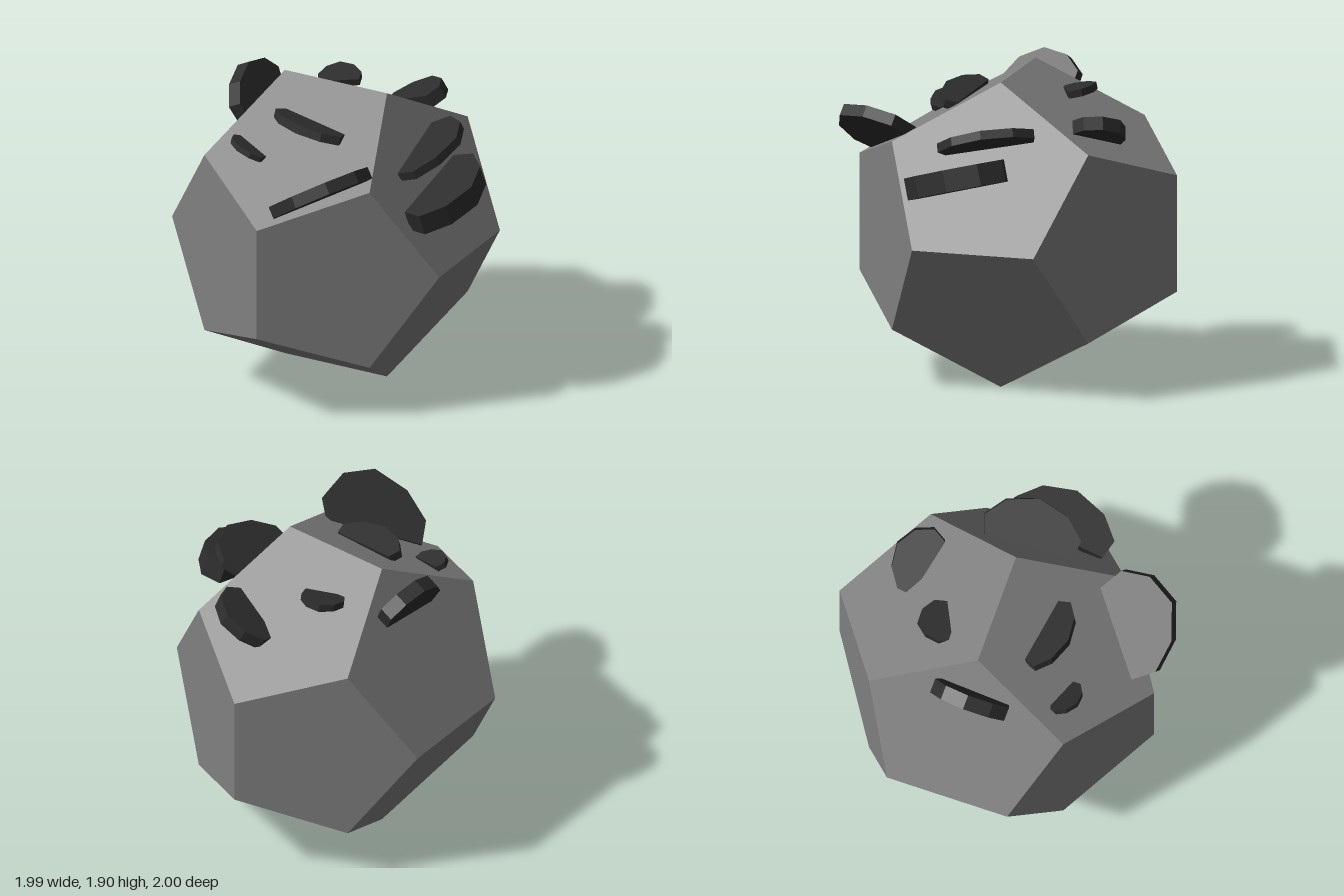
import * as THREE from 'three';
import { ConvexGeometry } from 'three/addons/geometries/ConvexGeometry.js';

const stone = new THREE.MeshStandardMaterial({ color: 0x808080, flatShading: true });
stone.name = 'grey stone';
const shell = new THREE.MeshStandardMaterial({ color: 0x2d2d2d, flatShading: true });
shell.name = 'dark shard';

// Shared shard outline: [fraction along the buried edge, fraction of the depth outward]
const outline = [[0, 0], [1, 0], [1.05, 0.4], [0.85, 0.8], [0.5, 1], [0.15, 0.8], [-0.05, 0.4]];

// A flat slab with a straight buried edge from "from" to "to" (x, z pairs) that
// bulges outward by "depth". Its upper face passes through "at", rising by
// "slope" in x and z, and its thickness runs along the face's normal.
function shard(name, { at: [x0, y0, z0], slope: [b, c], thick, from, to, depth }) {
  const start = new THREE.Vector2(...from);
  const edge = new THREE.Vector2(...to).sub(start);
  const outward = new THREE.Vector2(-edge.y, edge.x).setLength(depth);
  const down = new THREE.Vector3(b, -1, c).setLength(thick);
  const points = outline.flatMap(([along, out]) => {
    const { x, y: z } = start.clone().addScaledVector(edge, along).addScaledVector(outward, out);
    const p = new THREE.Vector3(x, y0 + b * (x - x0) + c * (z - z0), z);
    return [p, p.clone().add(down)];
  });
  const mesh = new THREE.Mesh(new ConvexGeometry(points), shell);
  mesh.name = name;
  return mesh;
}

export function createModel() {
  const model = new THREE.Group();
  model.name = 'shardedStone';

  // Twelve-sided body, slightly uneven, resting on one edge
  const geometry = new THREE.DodecahedronGeometry(1);
  geometry.scale(0.986, 1.014, 1.08);
  geometry.rotateY(-0.4625);
  geometry.translate(0, 0.948, -0.083);
  geometry.computeVertexNormals();
  const body = new THREE.Mesh(geometry, stone);
  body.name = 'body';
  model.add(body);

  // Shards on the upper front face
  model.add(
    shard('frontLargeShard', {
      at: [0.21, 1.72, 0.76], slope: [0.475, 0.5], thick: 0.075,
      from: [-0.38, 0.69], to: [0.16, 0.57], depth: 0.36,
    }),
    shard('frontMediumShard', {
      at: [-0.27, 1.765, 0.04], slope: [-0.234, 0.133], thick: 0.055,
      from: [-0.3, 0.05], to: [0.065, 0.3], depth: 0.18,
    }),
    shard('frontSmallShard', {
      at: [-0.6, 1.66, 0.28], slope: [-0.42, 0.02], thick: 0.035,
      from: [-0.57, 0.17], to: [-0.41, 0.33], depth: 0.12,
    }),
  );

  // Shards on the upper left side
  model.add(
    shard('sideLowerShard', {
      at: [0.6, 1.385, 0.73], slope: [0.28, -0.15], thick: 0.135,
      from: [0.44, 0.62], to: [0.72, 0.12], depth: 0.3,
    }),
    shard('sideUpperShard', {
      at: [0.41, 1.535, 0.45], slope: [0.48, -0.03], thick: 0.055,
      from: [0.39, 0.43], to: [0.58, -0.08], depth: 0.275,
    }),
  );

  // Shards on the upper back faces
  model.add(
    shard('backUprightShard', {
      at: [-0.52, 1.92, -0.37], slope: [-1.67, -1], thick: 0.09,
      from: [-0.33, -0.465], to: [-0.53, -0.08], depth: 0.12,
    }),
    shard('backSideShard', {
      at: [0.62, 1.73, -0.5], slope: [0.55, 0.05], thick: 0.085,
      from: [0.54, -0.33], to: [0.28, -0.57], depth: 0.23,
    }),
    shard('backSmallShard', {
      at: [0, 1.785, -0.45], slope: [0.08, -0.2], thick: 0.045,
      from: [0.13, -0.37], to: [-0.11, -0.37], depth: 0.19,
    }),
  );
  return model;
}
